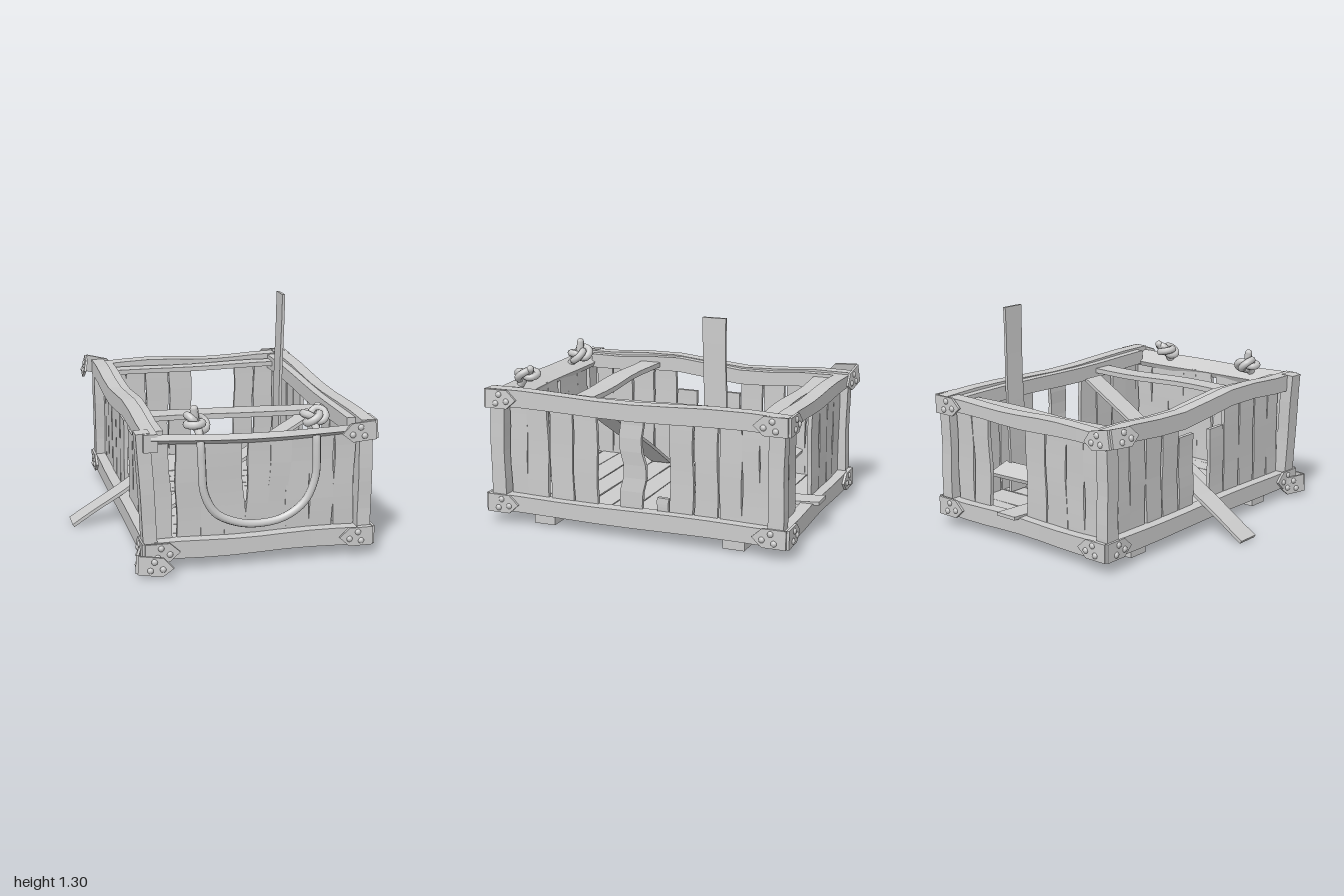
import * as THREE from 'three';

const V = (x, y, z) => new THREE.Vector3(x, y, z);
const wood = new THREE.MeshStandardMaterial({ color: 0xcccccc, flatShading: true });
const smooth = new THREE.MeshStandardMaterial({ color: 0xcccccc });
let seed = 7;
const rnd = () => ((seed = (seed * 16807) % 2147483647) / 2147483647);

// Board from a to b: width runs along `across`, edges wobble a little, bend(t) shifts it
function board(parent, name, a, b, across, width, thick, wob = 0.006, bend = null) {
  const len = a.distanceTo(b);
  const g = new THREE.BoxGeometry(len, thick, width, 8, 1, 1);
  const X = b.clone().sub(a).normalize();
  const Y = across.clone().cross(X).normalize();
  const Z = X.clone().cross(Y);
  const p = g.attributes.position;
  const s1 = rnd() * 6, s2 = rnd() * 6;
  for (let i = 0; i < p.count; i++) {
    const t = p.getX(i) / len + 0.5, z = p.getZ(i);
    p.setZ(i, z + wob * Math.sin(t * 9 + (z > 0 ? s1 : s1 + 0.9)));
    p.setY(i, p.getY(i) + wob * 0.4 * Math.sin(t * 7 + s2));
    if (bend) {
      const o = bend(t);
      p.setXYZ(i, p.getX(i) + o.dot(X), p.getY(i) + o.dot(Y), p.getZ(i) + o.dot(Z));
    }
  }
  g.computeVertexNormals();
  const m = new THREE.Mesh(g, wood);
  m.name = name;
  m.applyMatrix4(new THREE.Matrix4().makeBasis(X, Y, Z).setPosition(a.clone().add(b).multiplyScalar(0.5)));
  parent.add(m);
}

// Metal corner bracket: two pointed plates with three rivets each
function bracket(parent, name, pos, turn, tilt = [0, 0]) {
  const grp = new THREE.Group();
  grp.name = name;
  const h = 0.055;
  const shape = new THREE.Shape([[0, h], [-0.14, h], [-0.2, 0], [-0.14, -h], [0, -h]].map(q => new THREE.Vector2(...q)));
  for (const side of [0, 1]) {
    const half = new THREE.Group();
    half.name = 'bracketHalf';
    const plate = new THREE.Mesh(new THREE.ExtrudeGeometry(shape, { depth: 0.015, bevelEnabled: false }), wood);
    plate.name = 'bracketPlate';
    half.add(plate);
    for (const [x, y] of [[-0.07, -0.025], [-0.09, 0.028], [-0.14, -0.01]]) {
      const r = new THREE.Mesh(new THREE.SphereGeometry(0.018, 10, 6), smooth);
      r.name = 'rivet';
      r.scale.z = 0.7;
      r.position.set(x, y, side ? 0 : 0.015);
      half.add(r);
    }
    if (side) {
      half.rotation.y = -Math.PI / 2;
      half.position.x = 0.015;
    }
    grp.add(half);
  }
  grp.position.copy(pos);
  grp.rotation.set(tilt[0], turn, tilt[1]);
  parent.add(grp);
}

export function createModel() {
  seed = 7;
  const crate = new THREE.Group();
  crate.name = 'brokenCrate';
  const ax = V(1, 0, 0), ay = V(0, 1, 0), az = V(0, 0, 1);
  const L = -0.54, R = 0.79, F = 0.89, B = -0.96;

  // Skids and floor boards
  for (const z of [0.545, -0.64]) board(crate, 'skid', V(-0.5, 0.05, z), V(0.75, 0.05, z), az, 0.13, 0.065, 0.003);
  const cuts = [-0.89, -0.7, -0.525, -0.415, -0.31, -0.18, -0.11, 0.04, 0.18, 0.325, 0.47, 0.615, 0.74, 0.84];
  for (let i = 0; i + 1 < cuts.length; i++) {
    const z = (cuts[i] + cuts[i + 1]) / 2;
    board(crate, 'floorBoard', V(L + 0.06, 0.115, z), V(R - 0.06, 0.115, z), az, cuts[i + 1] - cuts[i] - 0.006, 0.035, 0.0025);
  }

  // Bottom rails
  for (const x of [L + 0.04, R - 0.04]) board(crate, 'bottomSideRail', V(x, 0.13, B), V(x, 0.13, F), ay, 0.1, 0.08, 0.004);
  for (const z of [F - 0.045, B + 0.04]) board(crate, 'bottomEndRail', V(L + 0.06, 0.13, z), V(R - 0.06, 0.13, z), ay, 0.1, 0.075, 0.005);

  // Top side rails: outer and inner strip; the right-hand one is warped
  const warp = t => V(0, 0.032 * Math.sin((t - 0.5) * 8) * Math.sin(Math.PI * t), 0);
  const slight = t => V(0, 0.008 * Math.sin(t * 8), 0);
  for (const [x, s, f] of [[L, 1, warp], [R, -1, slight]]) {
    board(crate, 'topSideRail', V(x + s * 0.04, 0.765, B), V(x + s * 0.04, 0.765, F), ay, 0.1, 0.08, 0.004, f);
    board(crate, 'topInnerRail', V(x + s * 0.105, 0.76, B + 0.08), V(x + s * 0.105, 0.76, F - 0.1), ay, 0.09, 0.05, 0.003, f);
  }
  // Top end rails, the front one tilted and bowed outward
  board(crate, 'topFrontRail', V(L + 0.04, 0.77, 0.83), V(R - 0.06, 0.755, 0.83), V(0, 0.5, 1), 0.13, 0.035, 0.004,
    t => V(0, -0.01 * Math.sin(Math.PI * t), 0.025 * Math.sin(Math.PI * t)));
  board(crate, 'topBackRail', V(L + 0.06, 0.765, -0.91), V(R - 0.06, 0.765, -0.91), ay, 0.08, 0.09, 0.008);
  board(crate, 'topBackInnerRail', V(L + 0.1, 0.765, -0.79), V(R - 0.1, 0.765, -0.79), az, 0.09, 0.03, 0.008);
  board(crate, 'topCrossSlat', V(L + 0.12, 0.775, 0.37), V(R - 0.12, 0.755, 0.37), az, 0.13, 0.03, 0.008);

  // Corner posts
  for (const [x, z, lean] of [[L + 0.04, 0.825, -0.04], [R - 0.04, 0.825, 0], [L + 0.04, -0.9, 0], [R - 0.04, -0.9, 0]])
    board(crate, 'cornerPost', V(x, 0.12, z), V(x + lean, lean ? 0.82 : 0.78, z), az, 0.09, 0.08, 0.003);

  // Side wall planks: centre z, width, top height for each wall (0 = missing)
  const sidePlanks = [
    [0.715, 0.11, 0.75, 0.75], [0.59, 0.135, 0.75, 0.75], [0.435, 0.145, 0.75, 0.75], [0.28, 0.15, 0.75, 0.75],
    [0.13, 0.135, 0, 0.61], [-0.17, 0.135, 0, 0.62], [-0.32, 0.14, 0.75, 0.75],
    [-0.47, 0.135, 0.75, 0.75], [-0.615, 0.13, 0.75, 0.75], [-0.735, 0.1, 0.75, 0.75], [-0.82, 0.07, 0.75, 0.75]];
  for (const [z, w, topL, topR] of sidePlanks) {
    if (topL) board(crate, 'leftWallPlank', V(R - 0.075, 0.12, z), V(R - 0.075, topL, z + 0.004), az, w, 0.025, 0.004);
    board(crate, 'rightWallPlank', V(L + 0.075, 0.12, z), V(L + 0.075, topR, z - 0.004), az, w, 0.025, 0.004);
  }
  // Buckled plank and a broken stub in the left wall
  board(crate, 'buckledPlank', V(R - 0.075, 0.12, -0.015), V(R - 0.075, 0.75, -0.015), az, 0.14, 0.025, 0.004,
    t => V(0.006, 0, 0.014).multiplyScalar(Math.sin(t * 11) * Math.sin(Math.PI * t)));
  board(crate, 'brokenStub', V(R - 0.075, 0.12, -0.2), V(R - 0.075, 0.26, -0.205), az, 0.07, 0.025, 0.003);

  // Front and back wall planks: centre x, width, lean of the top
  for (const [x, w, lean] of [[-0.42, 0.12, -0.03], [-0.27, 0.14, -0.01], [-0.13, 0.14, -0.02], [0.0, 0.13, -0.04],
    [0.12, 0.13, 0.02], [0.235, 0.12, 0.03], [0.36, 0.135, 0.01], [0.505, 0.14, 0], [0.64, 0.12, 0]])
    board(crate, 'frontWallPlank', V(x, 0.12, 0.8), V(x + lean, 0.74, 0.81), ax, w, 0.025, 0.005);
  for (const [x, w] of [[-0.4, 0.14], [-0.26, 0.13], [-0.115, 0.15], [0.045, 0.15], [0.49, 0.13], [0.63, 0.13]])
    board(crate, 'backWallPlank', V(x, 0.12, -0.885), V(x + 0.005, 0.76, -0.885), ax, w, 0.025, 0.005);

  // Loose planks
  board(crate, 'loosePlankOutside', V(-0.825, 0.015, -0.02), V(-0.3, 0.345, -0.02), az, 0.14, 0.02, 0.003);
  board(crate, 'loosePlankLeaning', V(-0.33, 0.15, 0.252), V(0.635, 0.72, 0.252), az, 0.14, 0.02, 0.003);
  board(crate, 'loosePlankRaised', V(-0.46, 0.3, -0.6), V(0.66, 0.3, -0.6), V(0, 0.3, 1), 0.145, 0.025, 0.004);
  board(crate, 'loosePlankBack', V(0.205, 0.19, -0.995), V(0.205, 0.16, -0.41), ax, 0.145, 0.02, 0.003);
  board(crate, 'uprightPlank', V(0.615, 0.14, -0.48), V(0.632, 1.305, -0.48), az, 0.135, 0.018, 0.004);

  // Corner brackets, two of them knocked loose
  const h = Math.PI / 2;
  for (const y of [0.13, 0.765]) {
    bracket(crate, 'cornerBracket', V(R + 0.005, y, F), 0, [0, y > 0.5 ? 0.08 : 0]);
    bracket(crate, 'cornerBracket', V(R, y, B - 0.005), h);
  }
  bracket(crate, 'cornerBracket', V(L, 0.13, B), Math.PI);
  bracket(crate, 'looseTopBracket', V(L - 0.045, 0.79, B - 0.01), Math.PI - 0.1, [0.06, 0.22]);
  bracket(crate, 'bottomBracket', V(L, 0.13, F), -h);
  bracket(crate, 'looseBottomBracket', V(-0.585, 0.085, 0.93), -h - 0.3, [0.2, 0.2]);

  // Rope handle hanging in a U on the front
  const path = new THREE.CatmullRomCurve3([
    V(-0.22, 0.84, 0.8), V(-0.215, 0.75, 0.86), V(-0.21, 0.62, 0.87), V(-0.195, 0.45, 0.87), V(-0.13, 0.33, 0.87), V(0, 0.265, 0.87),
    V(0.13, 0.25, 0.87), V(0.27, 0.275, 0.87), V(0.39, 0.36, 0.87), V(0.45, 0.5, 0.87), V(0.455, 0.66, 0.87),
    V(0.455, 0.75, 0.86), V(0.46, 0.84, 0.8)]);
  const rope = new THREE.Mesh(new THREE.TubeGeometry(path, 60, 0.024, 8), smooth);
  rope.name = 'ropeHandle';
  crate.add(rope);

  // Knots with a short rope end
  for (const [x, z, tip] of [[-0.225, 0.785, V(-0.235, 0.92, 0.785)], [0.455, 0.805, V(0.49, 0.885, 0.76)]]) {
    const knot = new THREE.Mesh(new THREE.TorusKnotGeometry(0.044, 0.023, 64, 8, 2, 3), smooth);
    knot.name = 'ropeKnot';
    knot.rotation.set(-h + 0.2, x < 0 ? 0.35 : -0.2, 0);
    knot.position.set(x, 0.842, z);
    const stub = new THREE.Mesh(new THREE.TubeGeometry(new THREE.LineCurve3(V(x, 0.82, z), tip), 1, 0.024, 8), smooth);
    stub.name = 'ropeEnd';
    const cap = new THREE.Mesh(new THREE.SphereGeometry(0.024, 8, 6), smooth);
    cap.name = 'ropeEndCap';
    cap.position.copy(tip);
    crate.add(knot, stub, cap);
  }
  return crate;
}
